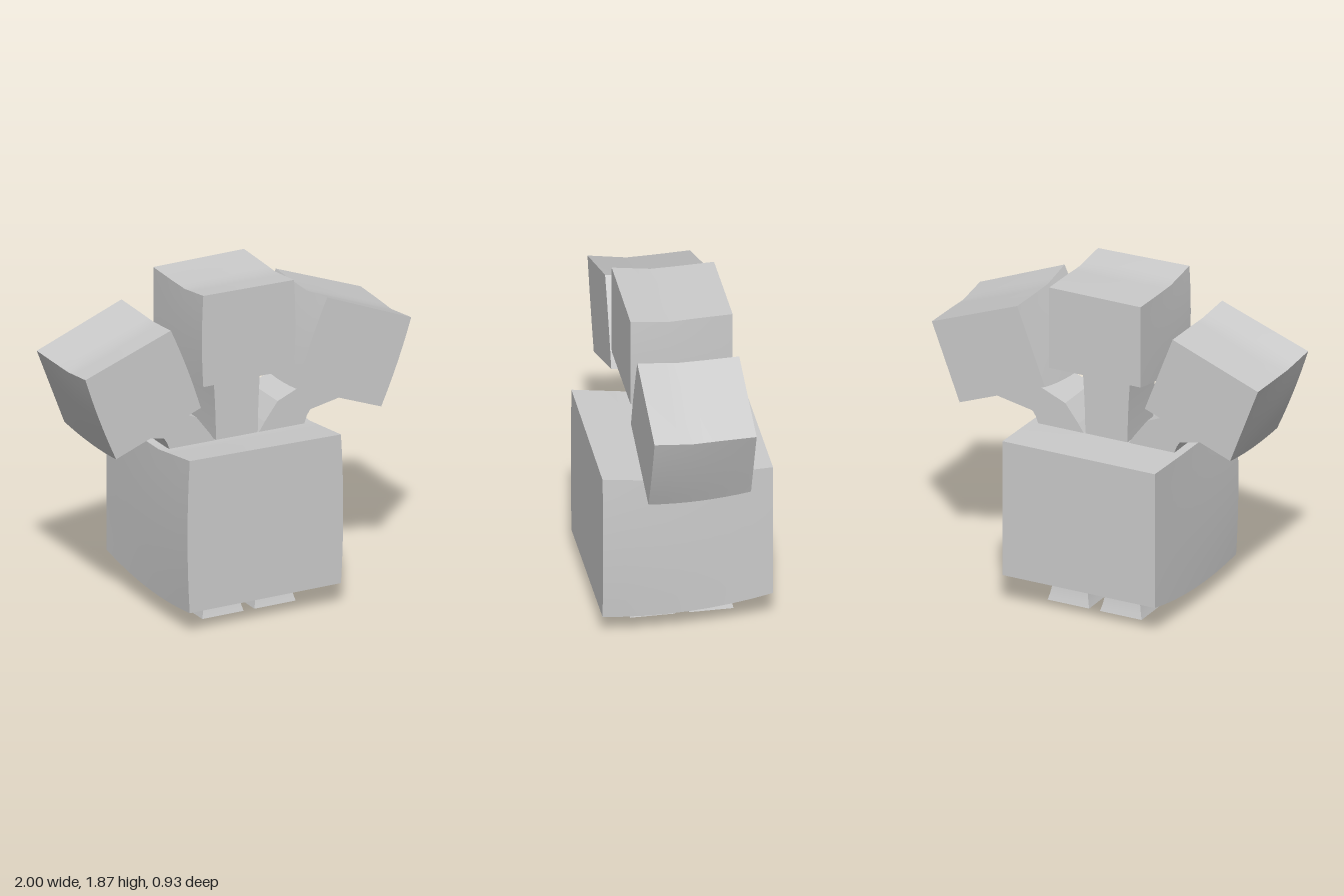
import * as THREE from 'three';

const material = new THREE.MeshStandardMaterial({ color: 0xcccccc, side: THREE.DoubleSide });

// Unit box (-1..1 on each axis) whose vertices are moved by a rule
function warpedBox(name, rule, segX = 4, segY = 8, segZ = 8) {
  const geometry = new THREE.BoxGeometry(2, 2, 2, segX, segY, segZ);
  const pos = geometry.attributes.position;
  for (let i = 0; i < pos.count; i++) {
    pos.setXYZ(i, ...rule(pos.getX(i), pos.getY(i), pos.getZ(i)));
  }
  geometry.computeVertexNormals();
  const mesh = new THREE.Mesh(geometry, material);
  mesh.name = name;
  return mesh;
}

// Block with bulging sides, a dished top and a curved underside
function block(name, scale) {
  return warpedBox(name, (u, v, w) => {
    const bulge = 1 + 0.03 * (1 - v * v) * (w + 1) / 2;
    const lean = -0.01 * u * Math.max(0, (w + 0.3) / 1.3);
    const top = (w > 0.25 ? 0.395 + 0.06 * (w - 0.25) : 0.395 + 0.012 * (0.25 - w)) + lean;
    const bottom = -0.445 + 0.04 * w * w - 0.025 * w;
    const y = THREE.MathUtils.lerp(bottom, top, (v + 1) / 2);
    return [u * 0.465 * bulge * scale, y * scale, w * 0.467 * scale];
  });
}

export function createModel() {
  const model = new THREE.Group();
  model.name = 'threeHeadedFigure';

  const body = block('body', 1);
  body.position.y = 0.56;
  model.add(body);

  // Middle head and its neck, slightly wider at the top
  const middleHead = block('middleHead', 0.6);
  middleHead.position.y = 1.597;
  const middleNeck = warpedBox('middleNeck', (u, v, w) => {
    const t = (v + 1) / 2;
    return [u * (0.128 + 0.022 * t * t), 0.9 + 0.5 * t, w * 0.148];
  });
  model.add(middleHead, middleNeck);

  for (const side of [-1, 1]) {
    const label = side > 0 ? 'left' : 'right';

    // Tilted outer head
    const head = block(label + 'Head', 0.6);
    head.position.set(side * 0.647, 1.363, 0);
    head.rotation.z = -side * 0.366;

    // Bent neck reaching outwards into the head
    const outline = [
      [0.11, 0.92], [0.40, 0.92], [0.43, 1.0], [0.45, 1.03], [0.68, 1.075],
      [0.71, 1.15], [0.43, 1.255], [0.40, 1.178], [0.25, 1.115], [0.17, 1.01],
    ].map(([x, y]) => new THREE.Vector2(side * x, y));
    const neckGeometry = new THREE.ExtrudeGeometry(new THREE.Shape(outline), { depth: 0.3, bevelEnabled: false });
    neckGeometry.translate(0, 0, -0.15);
    const neck = new THREE.Mesh(neckGeometry, material);
    neck.name = label + 'Neck';
    model.add(head, neck);

    // Front and back feet, flaring towards the ground
    for (const end of [1, -1]) {
      const foot = warpedBox(label + (end > 0 ? 'FrontFoot' : 'BackFoot'), (u, v, w) => {
        const t = (1 - v) / 2;
        const half = 0.1 + 0.027 * t * t;
        return [u * half, 0.18 * (1 - t), w * (half - 0.004)];
      }, 1, 6, 1);
      foot.position.set(side * 0.16, 0, end * 0.161);
      model.add(foot);
    }
  }
  return model;
}
